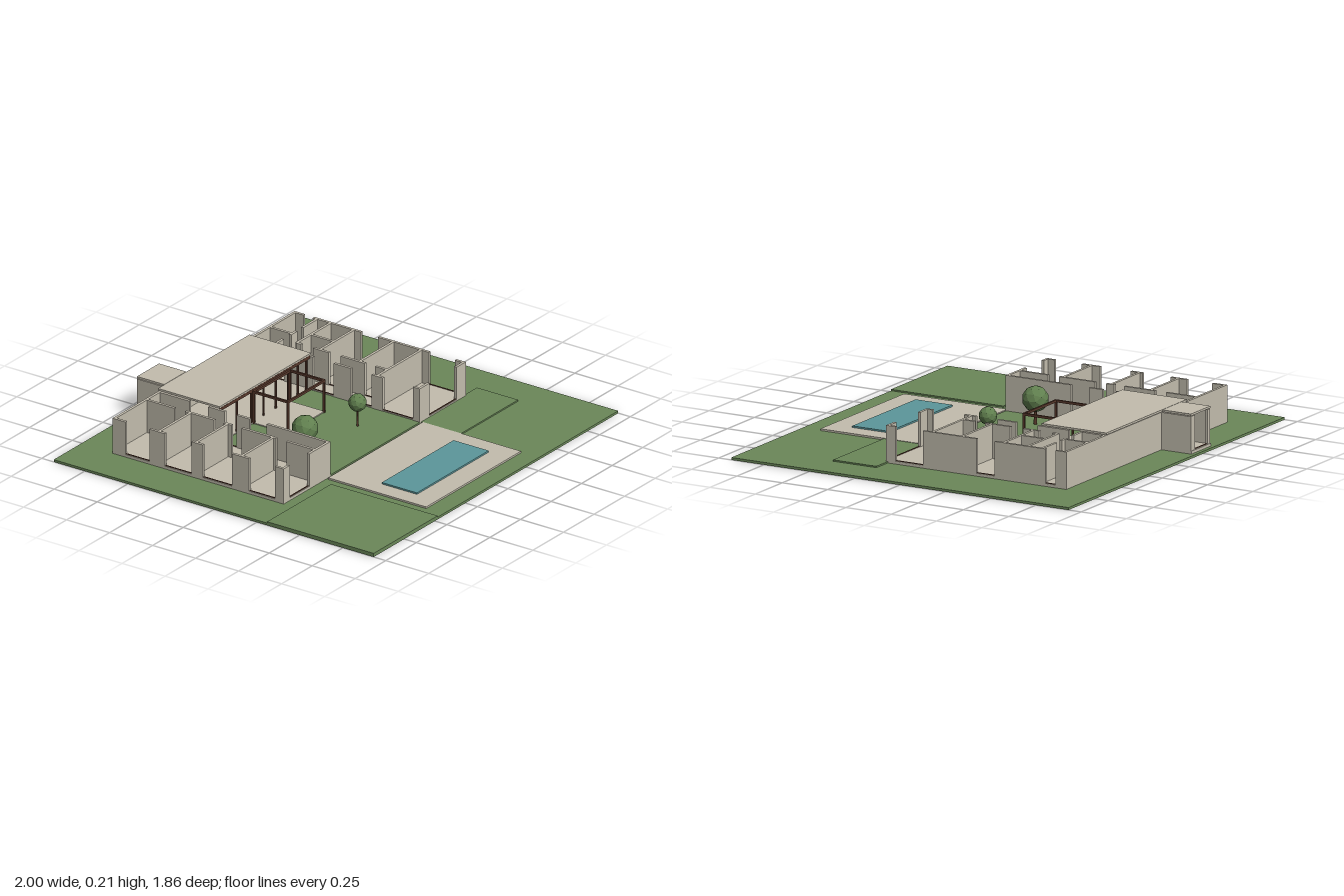
import * as THREE from 'three';

export function createModel() {
  const root = new THREE.Group();
  root.name = 'courtyardHouse';
  const mat = (name, color, flatShading = false) => {
    const m = new THREE.MeshStandardMaterial({ color, flatShading });
    m.name = name;
    return m;
  };
  const lawn = mat('lawn green', 0x6b8859);
  const stone = mat('pale stone', 0xc3bdae);
  const timber = mat('dark timber', 0x57382b);
  const water = mat('pool water', 0x5c979b);
  const leaf = mat('foliage green', 0x61804f, true);

  const group = (name) => {
    const g = new THREE.Group();
    g.name = name;
    root.add(g);
    return g;
  };
  // box given by its limits on each axis
  const box = (parent, name, m, [x0, x1], [y0, y1], [z0, z1]) => {
    const mesh = new THREE.Mesh(new THREE.BoxGeometry(x1 - x0, y1 - y0, z1 - z0), m);
    mesh.position.set((x0 + x1) / 2, (y0 + y1) / 2, (z0 + z1) / 2);
    mesh.name = name;
    parent.add(mesh);
  };

  // Ground, raised lawns, deck and pool
  const site = group('site');
  box(site, 'ground', lawn, [-1, 1], [0, 0.012], [-0.93, 0.93]);
  box(site, 'frontLawn', lawn, [-1, -0.477], [0.01, 0.019], [0.31, 0.93]);
  box(site, 'sideLawn', lawn, [0.345, 0.815], [0.01, 0.019], [0.24, 0.48]);
  box(site, 'courtyardLawn', lawn, [-0.4, 0.335], [0.01, 0.021], [-0.39, 0.25]);
  box(site, 'poolDeck', stone, [-0.43, 0.345], [0.01, 0.021], [0.26, 0.83]);
  box(site, 'pool', water, [-0.34, 0.247], [0.015, 0.029], [0.508, 0.712]);

  // Floors
  const floors = group('floors');
  const fy = [0.008, 0.026];
  box(floors, 'westFloor', stone, [-0.78, -0.4], fy, [-0.745, 0.25]);
  box(floors, 'eastFloor', stone, [0.335, 0.71], fy, [-0.745, 0.25]);
  box(floors, 'livingFloor', stone, [-0.4, 0.335], fy, [-0.745, -0.385]);
  box(floors, 'porchFloor', stone, [-0.35, -0.17], fy, [-0.91, -0.745]);
  box(floors, 'patioFloor', stone, [-0.135, 0.165], fy, [-0.385, -0.185]);

  // Roofless walls with full-height openings, each with a timber sill
  const walls = group('walls'), sills = group('sills');
  const T = 0.007, TOP = 0.195;
  const wall = (axis, at, from, to, gaps = []) => {
    const put = (parent, name, m, a, b, y, t) => {
      const run = [a, b], across = [at - t, at + t];
      if (axis === 'x') box(parent, name, m, run, y, across);
      else box(parent, name, m, across, y, run);
    };
    let start = from;
    for (const [a, b] of gaps) {
      put(walls, 'wall', stone, start, a, [0.01, TOP], T);
      put(sills, 'sill', timber, a, b, [0.02, 0.029], 0.003);
      start = b;
    }
    put(walls, 'wall', stone, start, to, [0.01, TOP], T);
  };

  // Outer walls
  wall('x', -0.738, -0.78, 0.71, [[-0.32, -0.2]]);
  wall('x', 0.243, -0.78, -0.4, [[-0.73, -0.57]]);
  wall('x', 0.243, 0.335, 0.71, [[0.415, 0.635]]);
  wall('z', -0.773, -0.745, 0.25, [[-0.67, -0.53], [-0.44, -0.285], [-0.22, -0.05], [0.05, 0.2]]);
  wall('z', 0.703, -0.745, 0.25, [[-0.685, -0.63], [-0.35, -0.25], [0.045, 0.197]]);

  // West wing rooms and corridor
  wall('z', -0.512, -0.745, 0.25, [[-0.57, -0.51], [-0.34, -0.285], [-0.24, -0.18], [0.02, 0.08]]);
  wall('z', -0.405, -0.745, 0.25, [[-0.56, -0.45], [-0.355, -0.285], [-0.21, -0.11]]);
  for (const z of [-0.48, -0.265, 0]) wall('x', z, -0.773, -0.512);

  // East wing rooms
  wall('z', 0.34, -0.745, 0.25, [[-0.6, -0.54], [-0.37, -0.25], [-0.15, -0.03], [0.035, 0.21]]);
  wall('z', 0.425, -0.53, 0, [[-0.5, -0.43], [-0.34, -0.27], [-0.13, -0.07]]);
  wall('x', -0.608, 0.34, 0.703, [[0.42, 0.48], [0.53, 0.58]]);
  wall('x', -0.53, 0.425, 0.703);
  wall('x', -0.395, 0.425, 0.703);
  wall('x', -0.165, 0.425, 0.703);
  wall('x', -0.003, 0.34, 0.703);
  wall('z', 0.497, -0.745, -0.608);
  wall('z', 0.54, -0.53, -0.395);

  // Entrance porch
  wall('z', -0.343, -0.905, -0.738);
  wall('z', -0.177, -0.905, -0.738);
  wall('x', -0.9, -0.35, -0.17, [[-0.325, -0.21]]);

  // Living room glazing frame
  const frame = group('livingFrame');
  box(frame, 'header', timber, [-0.4, 0.335], [0.183, 0.199], [-0.397, -0.389]);
  for (const x of [-0.375, -0.26, -0.14, -0.04, 0.06, 0.16, 0.24, 0.31])
    box(frame, 'mullion', timber, [x - 0.004, x + 0.004], [0.02, 0.199], [-0.397, -0.389]);

  // Flat roofs
  const roofs = group('roofs');
  box(roofs, 'livingRoof', stone, [-0.403, 0.345], [0.198, 0.208], [-0.748, -0.39]);
  box(roofs, 'porchRoof', stone, [-0.35, -0.17], [0.198, 0.208], [-0.908, -0.75]);

  // Pergola
  const pergola = group('pergola');
  const px = [-0.133, 0.163], pz = [-0.382, -0.185], h = 0.005;
  for (const x of px) {
    box(pergola, 'sideBeam', timber, [x - h, x + h], [0.18, 0.192], [pz[0] - h, pz[1] + h]);
    for (const z of pz) box(pergola, 'post', timber, [x - h, x + h], [0.012, 0.185], [z - h, z + h]);
  }
  for (const z of pz) box(pergola, 'crossBeam', timber, px, [0.18, 0.192], [z - h, z + h]);

  // Courtyard trees
  for (const [x, y, z, r] of [[-0.253, 0.145, 0, 0.065], [0.13, 0.143, 0.033, 0.045]]) {
    const tree = group('tree');
    const trunk = new THREE.Mesh(new THREE.CylinderGeometry(r * 0.09, r * 0.13, y - 0.01, 8), timber);
    trunk.name = 'trunk';
    trunk.position.set(x, (y + 0.01) / 2, z);
    const crown = new THREE.Mesh(new THREE.IcosahedronGeometry(r, 1), leaf);
    crown.name = 'crown';
    crown.position.set(x, y, z);
    tree.add(trunk, crown);
  }
  return root;
}
